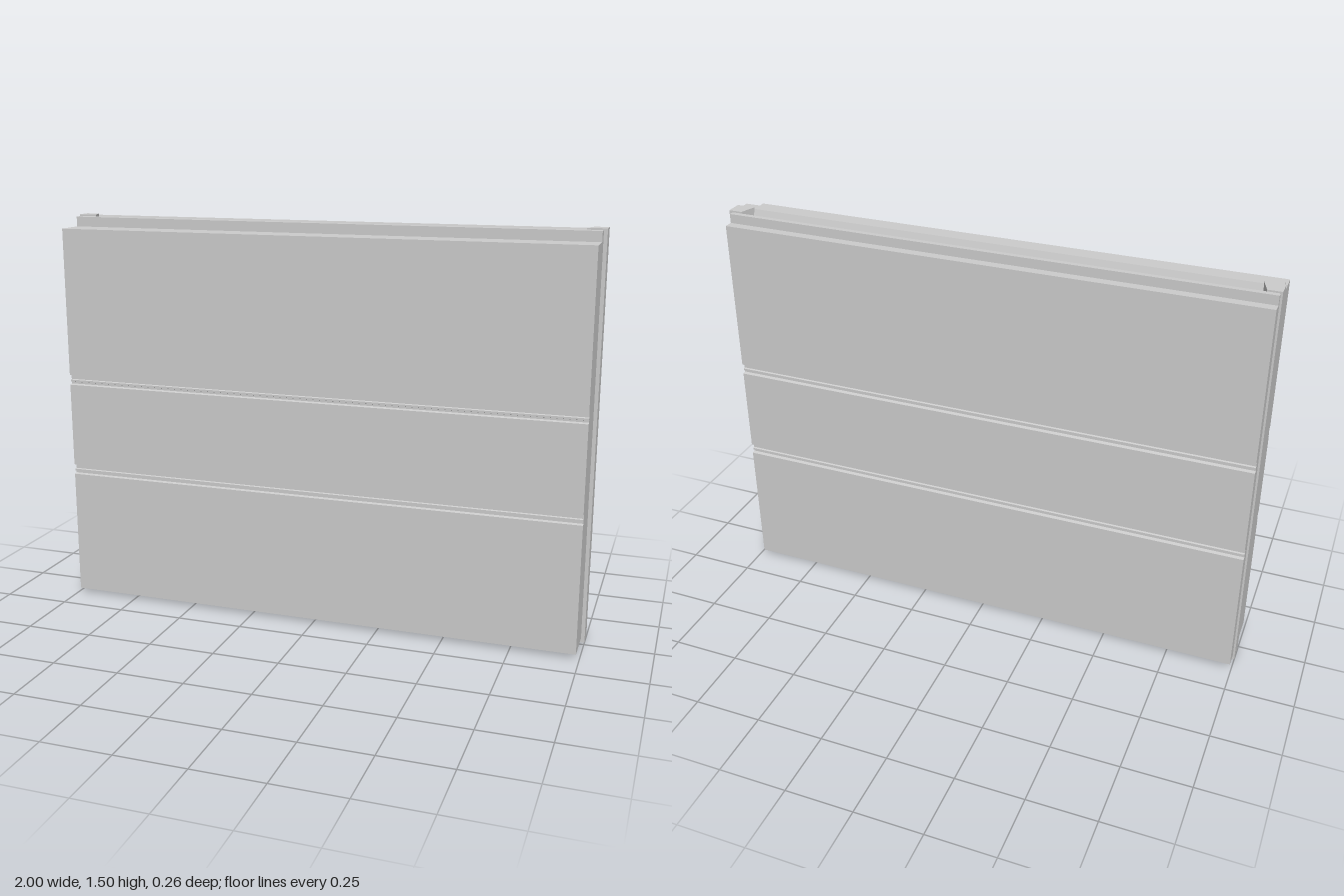
import * as THREE from 'three';

const material = new THREE.MeshStandardMaterial({ color: 0xcccccc, flatShading: true });

const LEFT = 0.987, RIGHT = -0.993;   // ends of the panel body
const KEY_FRONT = -0.018, KEY_BACK = -0.077; // sealing channel and end strips

function addMesh(group, name, geometry) {
  const mesh = new THREE.Mesh(geometry, material);
  mesh.name = name;
  group.add(mesh);
  return mesh;
}

// Decorative joint on one face, listed from bottom to top
function joint(face, bottom) {
  const s = Math.sign(face);
  return [[0, 0], [0.013, 0.003], [0.013, 0.01], [0.006, 0.012],
    [0.006, 0.019], [0.013, 0.021], [0.013, 0.038], [0, 0.039]]
    .map(([depth, rise]) => [face - s * depth, bottom + rise]);
}

// Cross-section in (z, y): stepped top, joints on both faces, shallow channels
function panelShape() {
  const front = 0.131, back = -0.13, base = 0.016, top = 1.494;
  const points = [
    [front, base],
    ...joint(front, 0.497), ...joint(front, 0.857),
    [front, 1.457], [0.02, 1.457], [0.02, top],
    // top channel
    [KEY_FRONT, top], [KEY_FRONT - 0.008, 1.465], [KEY_BACK + 0.008, 1.465], [KEY_BACK, top],
    [-0.096, top], [-0.096, 1.46], [back, 1.46],
    ...joint(back, 0.857).reverse(), ...joint(back, 0.497).reverse(),
    [back, base],
    // bottom channel
    [KEY_BACK, base], [KEY_BACK + 0.008, 0.045], [KEY_FRONT - 0.008, 0.045], [KEY_FRONT, base],
  ];
  return new THREE.Shape(points.map(([z, y]) => new THREE.Vector2(z, y)));
}

export function createModel() {
  const group = new THREE.Group();
  group.name = 'wallPanel';

  // Panel body, swept along x
  const body = new THREE.ExtrudeGeometry(panelShape(), { depth: LEFT - RIGHT, bevelEnabled: false });
  body.translate(0, 0, -LEFT);
  body.rotateY(-Math.PI / 2);
  addMesh(group, 'panelBody', body);

  const zMid = (KEY_FRONT + KEY_BACK) / 2, width = KEY_FRONT - KEY_BACK;
  for (const side of [1, -1]) {
    const label = side > 0 ? 'left' : 'right';

    // Thin sealing strip standing proud of the end face
    const inner = 0.98;
    addMesh(group, label + 'EndStrip', new THREE.BoxGeometry(1 - inner, 1.5, width))
      .position.set(side * (1 + inner) / 2, 0.75, zMid);

    // Tapered corner blocks closing the top and bottom channels
    for (const [name, y0, y1] of [['Top', 1.45, 1.5], ['Bottom', 0, 0.06]]) {
      const outline = new THREE.Shape([
        new THREE.Vector2(side * 0.99, -KEY_BACK),
        new THREE.Vector2(side * 0.95, -KEY_BACK),
        new THREE.Vector2(side * 0.93, -KEY_FRONT),
        new THREE.Vector2(side * 0.99, -KEY_FRONT),
      ]);
      const block = new THREE.ExtrudeGeometry(outline, { depth: y1 - y0, bevelEnabled: false });
      block.rotateX(-Math.PI / 2);
      addMesh(group, label + name + 'CornerBlock', block).position.y = y0;
    }
  }
  return group;
}
